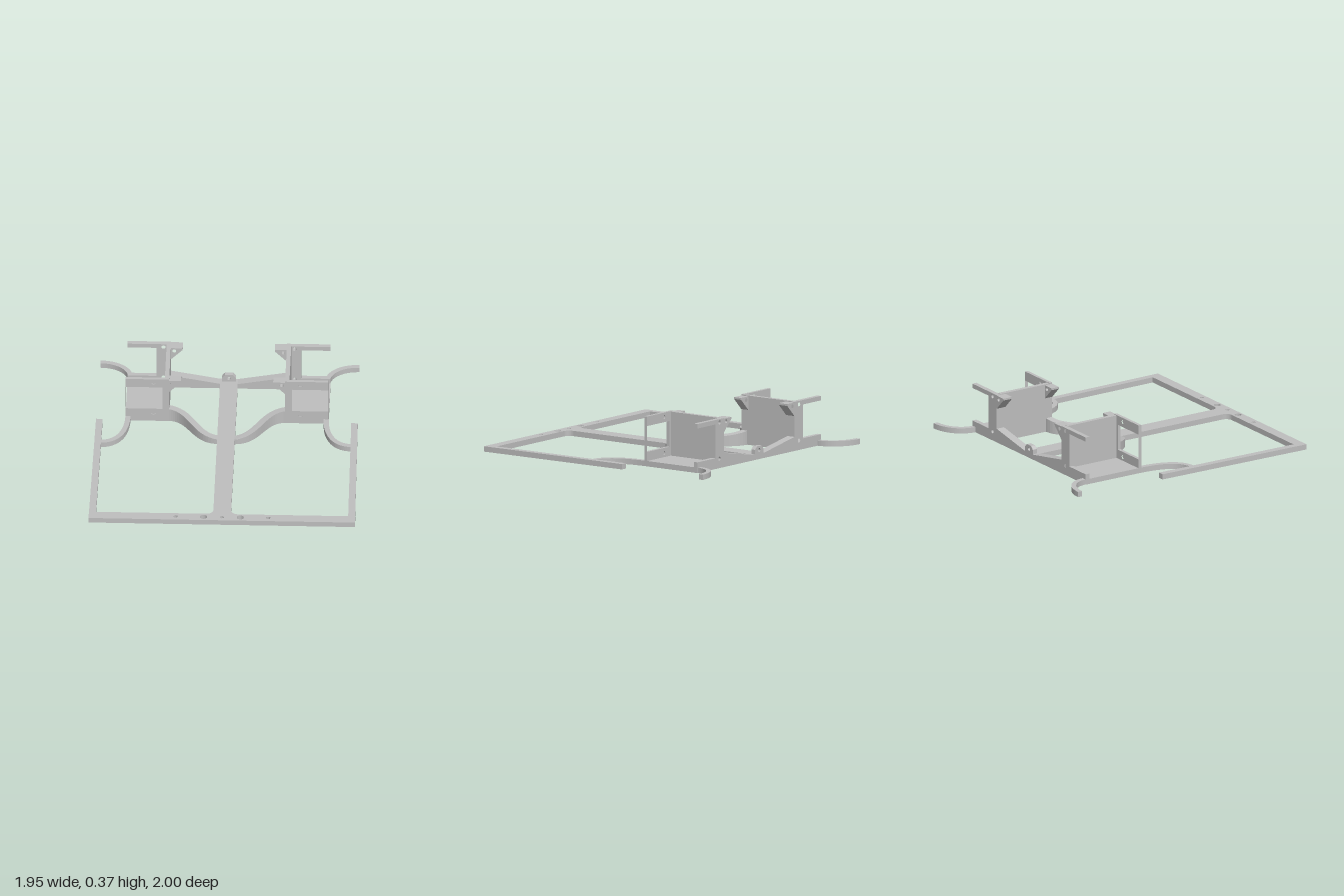
import * as THREE from 'three';

const steel = new THREE.MeshStandardMaterial({ color: 0xbebebe });
steel.name = 'plain grey';
const T = 0.04; // thickness of the flat frame

function shapeOf(points, holes = []) {
  const shape = new THREE.Shape(points.map(([x, y]) => new THREE.Vector2(x, y)));
  for (const [x, y, r] of holes) {
    const hole = new THREE.Path();
    hole.absarc(x, y, r, 0, Math.PI * 2, true);
    shape.holes.push(hole);
  }
  return shape;
}

function add(group, name, geometry) {
  const mesh = new THREE.Mesh(geometry, steel);
  mesh.name = name;
  group.add(mesh);
}

// Floor-plan outline [x, z], raised to height h
function slab(points, h, holes = []) {
  const flip = ([x, z, ...r]) => [x, -z, ...r];
  const shape = shapeOf(points.map(flip), holes.map(flip));
  return new THREE.ExtrudeGeometry(shape, { depth: h, bevelEnabled: false, curveSegments: 16 })
    .rotateX(-Math.PI / 2);
}

// Front outline [x, y], from z0 forward to z1
function plate(points, z0, z1, holes = []) {
  return new THREE.ExtrudeGeometry(shapeOf(points, holes), { depth: z1 - z0, bevelEnabled: false, curveSegments: 16 })
    .translate(0, 0, z0);
}

function box(x0, x1, y0, y1, z0, z1) {
  return new THREE.BoxGeometry(Math.abs(x1 - x0), y1 - y0, z1 - z0)
    .translate((x0 + x1) / 2, (y0 + y1) / 2, (z0 + z1) / 2);
}

// Strip of constant width along a cubic curve in plan
function band(control, width, h, s) {
  const curve = new THREE.CubicBezierCurve(...control.map(([x, z]) => new THREE.Vector2(x * s, z)));
  const near = [], far = [], n = 24;
  for (let i = 0; i <= n; i++) {
    const p = curve.getPoint(i / n), t = curve.getTangent(i / n).multiplyScalar(width / 2);
    near.push([p.x - t.y, p.y + t.x]);
    far.unshift([p.x + t.y, p.y - t.x]);
  }
  return slab([...near, ...far], h);
}

export function createModel() {
  const model = new THREE.Group();
  model.name = 'mountingFrame';

  // Front bar, one drilled length per hole
  const cuts = [-0.977, -0.24, -0.07, 0.07, 0.24, 0.977];
  [[-0.34, 0.015], [-0.135, 0.025], [0, 0.014], [0.135, 0.025], [0.34, 0.015]].forEach(([x, r], i) => {
    const a = cuts[i], b = cuts[i + 1];
    add(model, 'frontBar', slab([[a, 0.92], [a, 1], [b, 1], [b, 0.92]], T, [[x, 0.96, r]]));
  });

  // Central spine, flared with fillets where it meets the front bar
  const half = [];
  for (let i = 0; i <= 8; i++) {
    const a = (i / 8) * Math.PI / 2;
    half.push([0.115 - 0.05 * Math.sin(a), 0.87 + 0.05 * Math.cos(a)]);
  }
  half.push([0.065, -0.73]);
  add(model, 'spine', slab([...half, ...half.map(([x, z]) => [-x, z]).reverse()], T));

  // Rear beam, rising towards both brackets
  add(model, 'rearBeam', plate([
    [-0.425, 0], [0.425, 0], [0.425, 0.105], [0.065, T], [-0.065, T], [-0.425, 0.105],
  ], -0.795, -0.73));

  // Lug with a hole in the middle of the rear beam
  add(model, 'centreLug', plate([
    [-0.05, T], [0.05, T], [0.05, 0.075], [0.028, 0.098], [-0.028, 0.098], [-0.05, 0.075],
  ], -0.795, -0.76, [[0, 0.067, 0.014]]));

  for (const s of [1, -1]) {
    const side = new THREE.Group();
    side.name = s > 0 ? 'leftBracket' : 'rightBracket';
    model.add(side);
    const m = (list) => list.map(([x, ...rest]) => [x * s, ...rest]);

    // Side rail, tapering towards its free end
    add(side, 'sideRail', slab(m([[0.976, 0.92], [0.96, -0.26], [0.912, -0.26], [0.925, 0.92]]), T));

    add(side, 'bracketFloor', box(0.425 * s, 0.745 * s, 0, T, -0.76, -0.329));
    add(side, 'bracketWall', box(0.425 * s, 0.457 * s, 0, 0.367, -0.76, -0.329));

    // C-shaped end plates
    add(side, 'frontPlate', plate(m([
      [0.425, 0], [0.745, 0], [0.745, 0.108], [0.475, 0.108], [0.475, 0.3],
      [0.745, 0.3], [0.745, 0.371], [0.425, 0.371],
    ]), -0.329, -0.304, m([[0.54, 0.07, 0.015], [0.54, 0.34, 0.015]])));
    add(side, 'rearPlate', plate(m([
      [0.425, 0], [0.745, 0], [0.745, 0.08], [0.53, 0.08], [0.53, 0.332],
      [0.745, 0.332], [0.745, 0.365], [0.425, 0.365],
    ]), -0.795, -0.76, m([[0.48, 0.07, 0.015], [0.48, 0.34, 0.015]])));

    // Bottoms of the blind holes in the front plate
    for (const y of [0.07, 0.34]) {
      add(side, 'holeBottom', new THREE.CylinderGeometry(0.015, 0.015, 0.008, 24)
        .rotateX(Math.PI / 2).translate(0.54 * s, y, -0.3165));
    }

    // Thin sheet closing the outer edge of the front opening
    add(side, 'edgeSheet', box(0.744 * s, 0.745 * s, 0.108, 0.3, -0.329, -0.304));

    // Drilled tabs pointing inwards
    for (const [name, z0, z1] of [['frontTab', -0.369, -0.304], ['rearTab', -0.795, -0.718]]) {
      add(side, name, plate(m([
        [0.43, 0.361], [0.338, 0.361], [0.338, 0.347], [0.43, 0.255],
      ]), z0, z1, m([[0.4, 0.337, 0.014]])));
    }

    // S-shaped arm from the spine, its top climbing to the bracket
    const arm = band([[0.06, -0.05], [0.24, -0.05], [0.25, -0.332], [0.43, -0.332]], 0.054, T, s);
    const p = arm.attributes.position;
    for (let i = 0; i < p.count; i++) {
      if (p.getY(i) > T / 2) p.setY(i, T + 0.065 * Math.max(0, Math.abs(p.getX(i)) - 0.065) / 0.36);
    }
    arm.computeVertexNormals();
    add(side, 'curvedArm', arm);

    // Outer hooks: one joins the side rail, one ends free
    add(side, 'frontHook', band([[0.727, -0.306], [0.727, -0.115], [0.79, 0.024], [0.925, 0.024]], 0.038, T, s));
    add(side, 'rearHook', band([[0.723, -0.793], [0.723, -0.9], [0.82, -0.982], [0.95, -0.982]], 0.036, T, s));
  }
  return model;
}
